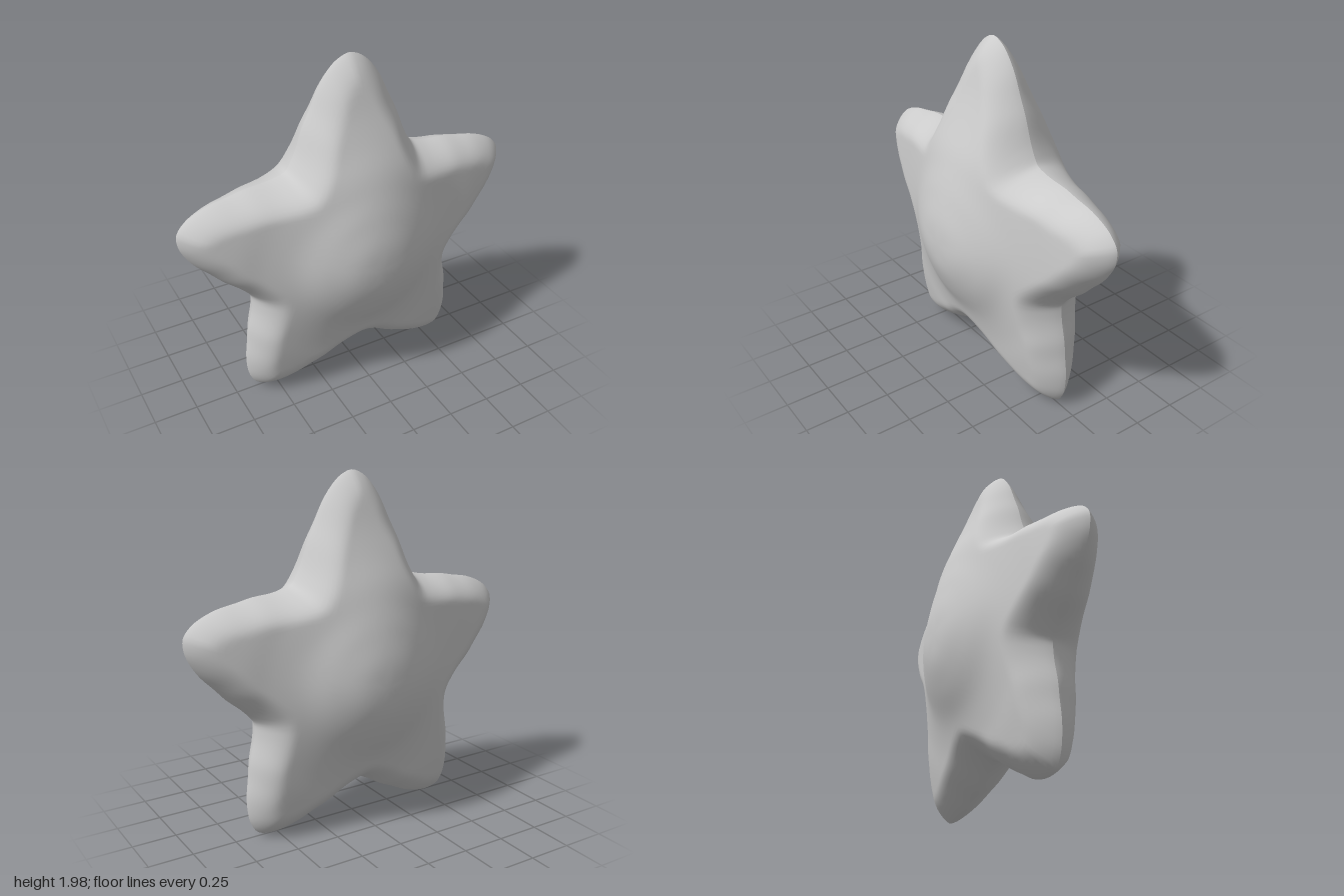
import * as THREE from 'three';

const CENTRE_Y = 0.873;
const RINGS = 26;

// Half outline of one arm: distance along the arm, half width
const ARM = [[0.565, 0.352], [0.626, 0.319], [0.725, 0.278], [0.81, 0.23],
  [0.903, 0.18], [0.98, 0.118], [1.022, 0.066]];
const ARM_TIP = 1.045;
const VALLEY = 0.65;

// Closed rounded star outline around the origin; the top arm is a little longer
function starOutline() {
  const points = [];
  for (let arm = 0; arm < 5; arm++) {
    const angle = Math.PI / 2 + (arm * Math.PI * 2) / 5;
    const c = Math.cos(angle), s = Math.sin(angle);
    const add = (u, v) => {
      const stretch = arm === 0 ? 0.065 * THREE.MathUtils.smoothstep(u, 0.5, 1.05) : 0;
      points.push(new THREE.Vector3((u + stretch) * c - v * s, (u + stretch) * s + v * c, 0));
    };
    add(VALLEY * Math.cos(Math.PI / 5), -VALLEY * Math.sin(Math.PI / 5));
    ARM.forEach(([u, v]) => add(u, -v));
    add(ARM_TIP, 0);
    [...ARM].reverse().forEach(([u, v]) => add(u, v));
  }
  return new THREE.CatmullRomCurve3(points, true, 'centripetal').getPoints(points.length * 3).slice(0, -1);
}

// Thickness of the puffed body by distance from the centre, in steps of 0.15
const dome = new THREE.SplineCurve(
  [0.38, 0.366, 0.312, 0.238, 0.192, 0.162, 0.125, 0.085, 0.05].map((z, i) => new THREE.Vector2(i * 0.15, z)));

// Distance to the outline
function edgeDistance(x, y, outline) {
  let best = Infinity;
  outline.forEach((a, i) => {
    const b = outline[(i + 1) % outline.length];
    const dx = b.x - a.x, dy = b.y - a.y;
    const t = THREE.MathUtils.clamp(((x - a.x) * dx + (y - a.y) * dy) / (dx * dx + dy * dy), 0, 1);
    best = Math.min(best, Math.hypot(x - a.x - t * dx, y - a.y - t * dy));
  });
  return best;
}

function height(x, y, outline) {
  const r = Math.hypot(x, y);
  const up = r > 0 ? Math.max(0, y / r) : 0;
  const fullness = 0.06 * Math.exp(-(((r - 0.5) / 0.22) ** 2)) * up ** 3;
  const rim = 1 - Math.min(edgeDistance(x, y, outline) / 0.14, 1);
  return (dome.getPoint(Math.min(r / 1.2, 1)).y + fullness) * (1 - rim * rim) ** 0.8;
}

// One puffed half: rings from the centre to the outline
function halfGeometry(outline, side) {
  const n = outline.length;
  const positions = [0, 0, side * height(0, 0, outline)];
  const index = [];
  const face = (a, b, c) => (side > 0 ? index.push(a, b, c) : index.push(a, c, b));
  for (let ring = 1; ring <= RINGS; ring++) {
    const t = 1 - (1 - ring / RINGS) ** 1.5; // rings crowd towards the rim
    outline.forEach((p, i) => {
      const x = p.x * t, y = p.y * t;
      positions.push(x, y, ring === RINGS ? 0 : side * height(x, y, outline));
      const j = (i + 1) % n;
      const outer = 1 + (ring - 1) * n, inner = outer - n;
      if (ring === 1) {
        face(0, outer + i, outer + j);
      } else {
        face(inner + i, outer + i, outer + j);
        face(inner + i, outer + j, inner + j);
      }
    });
  }
  const geometry = new THREE.BufferGeometry();
  geometry.setAttribute('position', new THREE.Float32BufferAttribute(positions, 3));
  geometry.setIndex(index);
  geometry.computeVertexNormals();
  return geometry;
}

export function createModel() {
  const group = new THREE.Group();
  group.name = 'star';
  const material = new THREE.MeshStandardMaterial({ color: 0xcccccc });
  const outline = starOutline();

  // Two mirrored halves meet in a sharp seam
  [['frontHalf', 1], ['backHalf', -1]].forEach(([name, side]) => {
    const mesh = new THREE.Mesh(halfGeometry(outline, side), material);
    mesh.name = name;
    mesh.position.y = CENTRE_Y;
    group.add(mesh);
  });
  return group;
}
